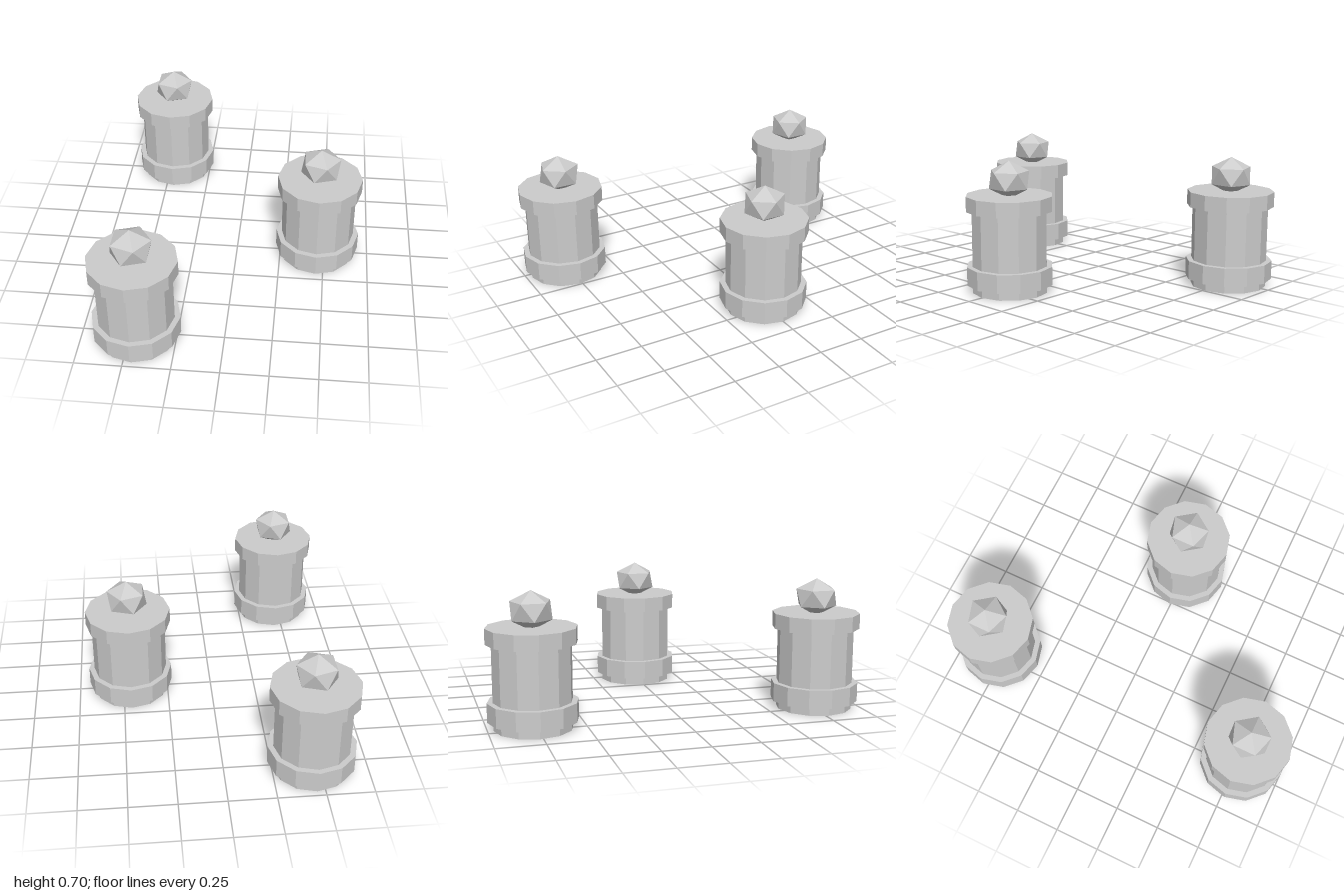
import * as THREE from 'three';

const stone = new THREE.MeshStandardMaterial({ color: 0xcccccc, flatShading: true });
stone.name = 'light grey';

function part(name, geometry, y) {
  const mesh = new THREE.Mesh(geometry, stone);
  mesh.name = name;
  mesh.position.y = y;
  return mesh;
}

// Twelve-sided drum between two heights
function drum(name, radius, bottom, top) {
  return part(name, new THREE.CylinderGeometry(radius, radius, top - bottom, 12), (bottom + top) / 2);
}

// Faceted knob standing on one of its points, slightly flattened
function knob() {
  const golden = (1 + Math.sqrt(5)) / 2;
  const geometry = new THREE.IcosahedronGeometry(1, 0);
  geometry.rotateZ(-Math.atan(1 / golden));
  geometry.scale(0.12, 0.101, 0.12);
  return part('knob', geometry, 0.603);
}

function canister(name, x, z) {
  const group = new THREE.Group();
  group.name = name;
  group.add(
    drum('body', 0.203, 0, 0.48),
    drum('lowerBand', 0.233, 0.044, 0.144),
    drum('lid', 0.233, 0.441, 0.522),
    knob()
  );
  group.position.set(x, 0, z);
  return group;
}

export function createModel() {
  const model = new THREE.Group();
  model.name = 'canisters';
  model.add(
    canister('frontRightCanister', -0.458, 0.767),
    canister('backRightCanister', -0.458, -0.767),
    canister('leftCanister', 0.458, 0)
  );
  return model;
}
